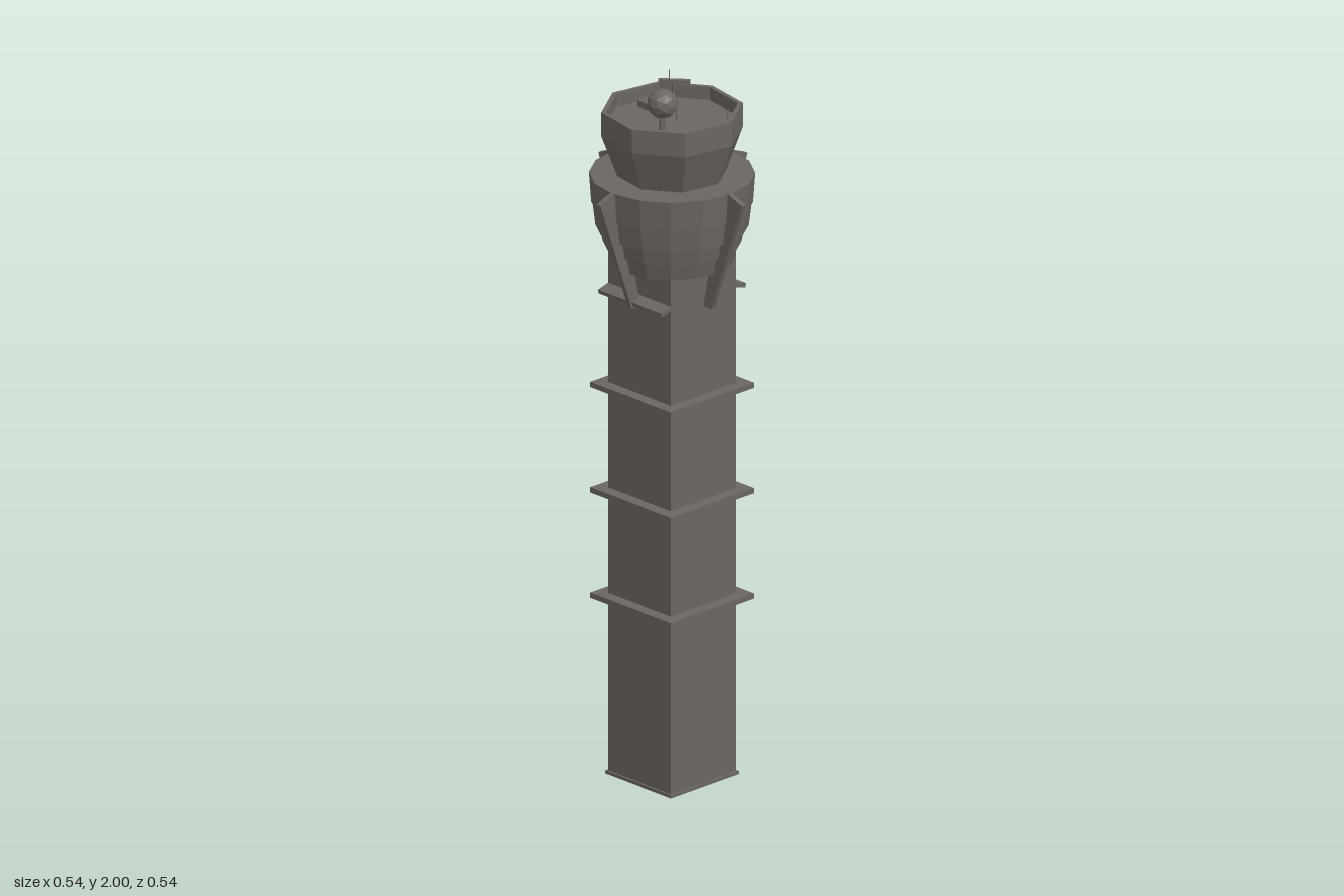
import * as THREE from 'three';

export function createModel() {
  const root = new THREE.Group();
  root.name = 'controlTower';
  const concrete = new THREE.MeshStandardMaterial({ color: 0x6b6661, flatShading: true, side: THREE.DoubleSide });
  concrete.name = 'warmGreyConcrete';

  function add(name, geometry, x = 0, y = 0, z = 0, parent = root) {
    const mesh = new THREE.Mesh(geometry, concrete);
    mesh.name = name;
    mesh.position.set(x, y, z);
    parent.add(mesh);
    return mesh;
  }
  const lathe = (points, sides, start = 0) =>
    new THREE.LatheGeometry(points.map(([r, y]) => new THREE.Vector2(r, y)), sides, start);

  // Square collar with a hole for the shaft
  function collar(name, half, y, height) {
    const square = (path, h) => path.moveTo(-h, -h).lineTo(h, -h).lineTo(h, h).lineTo(-h, h).closePath();
    const shape = square(new THREE.Shape(), half);
    shape.holes.push(square(new THREE.Path(), 0.119));
    const g = new THREE.ExtrudeGeometry(shape, { depth: height, bevelEnabled: false });
    g.rotateX(-Math.PI / 2);
    add(name, g, 0, y, 0);
  }

  // Hollow shaft, open below
  const shaft = new THREE.CylinderGeometry(0.12 * Math.SQRT2, 0.12 * Math.SQRT2, 1.5, 4, 1, true);
  shaft.rotateY(Math.PI / 4);
  add('shaft', shaft, 0, 0.75, 0);
  collar('baseSkirt', 0.125, 0, 0.009);
  [0.5, 0.8, 1.1].forEach((y, i) => collar('shaftLedge' + (i + 1), 0.153, y, 0.015));
  add('doorStep', new THREE.BoxGeometry(0.035, 0.006, 0.015), 0.01, 0.003, -0.13);

  // Stepped sixteen-sided drum under the cabin
  add('drum', lathe([
    [0, 1.47], [0.165, 1.47], [0.178, 1.525], [0.178, 1.525],
    [0.184, 1.518], [0.195, 1.575], [0.189, 1.565], [0.203, 1.565],
    [0.212, 1.64], [0.205, 1.63], [0.214, 1.63], [0.22, 1.713], [0, 1.713],
  ], 16), 0, 0, 0);

  // Four slanted fins around the drum
  const finShape = new THREE.Shape([
    [0.125, 1.37], [0.157, 1.37], [0.272, 1.695], [0.22, 1.715], [0.2, 1.712],
  ].map(([x, y]) => new THREE.Vector2(x, y)));
  const finGeometry = new THREE.ExtrudeGeometry(finShape, { depth: 0.014, bevelEnabled: false });
  finGeometry.translate(0, 0, -0.007);
  for (let i = 0; i < 4; i++) add('fin' + (i + 1), finGeometry).rotation.y = i * Math.PI / 2;

  // Sloping ledges on the two sides of the shaft
  for (const side of [-1, 1]) {
    const ledge = add(side > 0 ? 'leftSideLedge' : 'rightSideLedge',
      new THREE.BoxGeometry(0.04, 0.012, 0.24), side * 0.136, 1.387, 0);
    ledge.rotation.z = side * -0.25;
  }

  // Eight-sided cabin with sunken roof
  add('cabin', lathe([
    [0.147, 1.71], [0.191, 1.83], [0.191, 1.897], [0.178, 1.897], [0.178, 1.86], [0, 1.86],
  ], 8, 0.2));

  // Roof equipment
  const roof = new THREE.Group();
  roof.name = 'roofEquipment';
  root.add(roof);
  const pole = (name, x, z, top, r = 0.0015) =>
    add(name, new THREE.CylinderGeometry(r, r, top - 1.86, 5), x, (top + 1.86) / 2, z, roof);

  add('radome', new THREE.IcosahedronGeometry(0.041, 1), -0.093, 1.952, 0.06, roof);
  pole('radomeStand', -0.093, 0.06, 1.915, 0.008);
  pole('radarStand', 0.092, -0.088, 1.916, 0.004);
  add('radarBar', new THREE.BoxGeometry(0.085, 0.012, 0.012), 0.097, 1.919, -0.09, roof).rotation.y = -0.86;
  add('roofUnit', new THREE.BoxGeometry(0.048, 0.018, 0.05), 0.01, 1.88, -0.093, roof);
  for (const x of [-0.006, 0.028])
    for (const z of [-0.115, -0.067]) pole('roofUnitLeg', x, z, 1.875, 0.002);
  pole('tallAntenna', 0.004, -0.014, 2.0);
  pole('shortAntenna', 0.01, 0.007, 1.95);
  pole('cornerAntenna', 0.114, 0.096, 1.89);
  return root;
}
